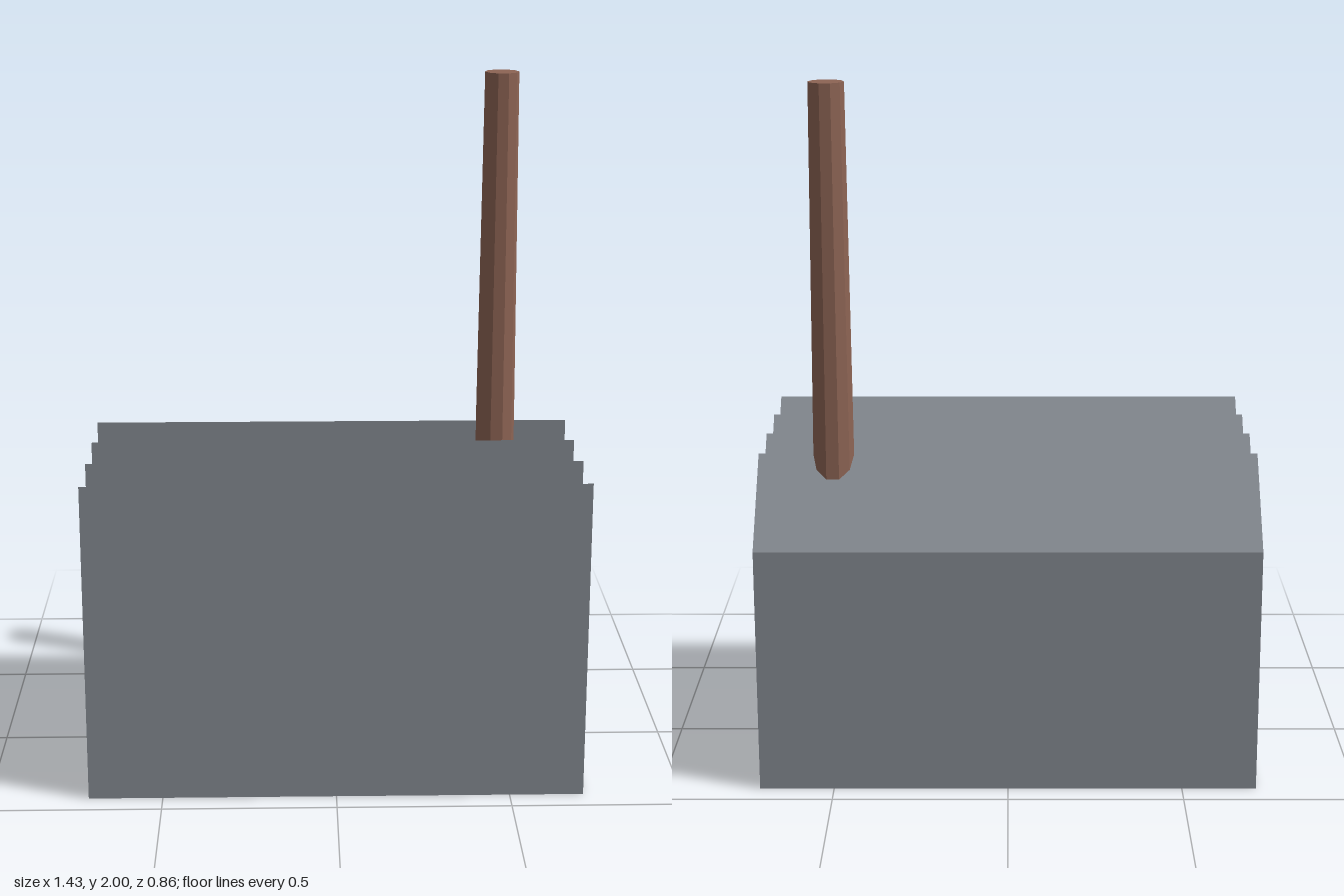
import * as THREE from 'three';

const WIDTH = 1.426, DEPTH = 0.855, WALL = 0.716;   // main hall
const TEETH = 4, PITCH = DEPTH / TEETH, RISE = 0.225; // sawtooth roof
const PANEL = 0.011, SLOPE = 0.015;                  // roof sheet thicknesses

export function createModel() {
  const concrete = new THREE.MeshStandardMaterial({ color: 0x868b92 });
  concrete.name = 'concreteGrey';
  const brick = new THREE.MeshStandardMaterial({ color: 0x8d6454, flatShading: true });
  brick.name = 'brickBrown';

  const factory = new THREE.Group();
  factory.name = 'factory';
  const add = (name, geometry, material, x, y, z) => {
    const mesh = new THREE.Mesh(geometry, material);
    mesh.name = name;
    mesh.position.set(x, y, z);
    factory.add(mesh);
    return mesh;
  };

  // Main hall
  add('hall', new THREE.BoxGeometry(WIDTH, WALL, DEPTH), concrete, 0, WALL / 2, 0);

  // Roof teeth: thin upright at the front, thin slope to the back, open ends
  const profile = new THREE.Shape([
    [0, 0], [PANEL, 0],
    [PANEL, (PITCH - SLOPE - PANEL) * RISE / PITCH],
    [PITCH - SLOPE, 0], [PITCH, 0], [0, RISE],
  ].map(([x, y]) => new THREE.Vector2(x, y)));
  const tooth = new THREE.ExtrudeGeometry(profile, { depth: WIDTH, bevelEnabled: false });
  tooth.translate(0, 0, -WIDTH / 2).rotateY(Math.PI / 2);
  for (let i = 0; i < TEETH; i++) {
    add(`roofTooth${i + 1}`, tooth, concrete, 0, WALL, DEPTH / 2 - i * PITCH);
  }

  // Tapered ten-sided chimney
  const stackHeight = 2 - WALL;
  const chimney = new THREE.CylinderGeometry(0.05, 0.06, stackHeight, 10).rotateY(Math.PI / 2);
  add('chimney', chimney, brick, 0.498, WALL + stackHeight / 2, -0.215);

  return factory;
}
